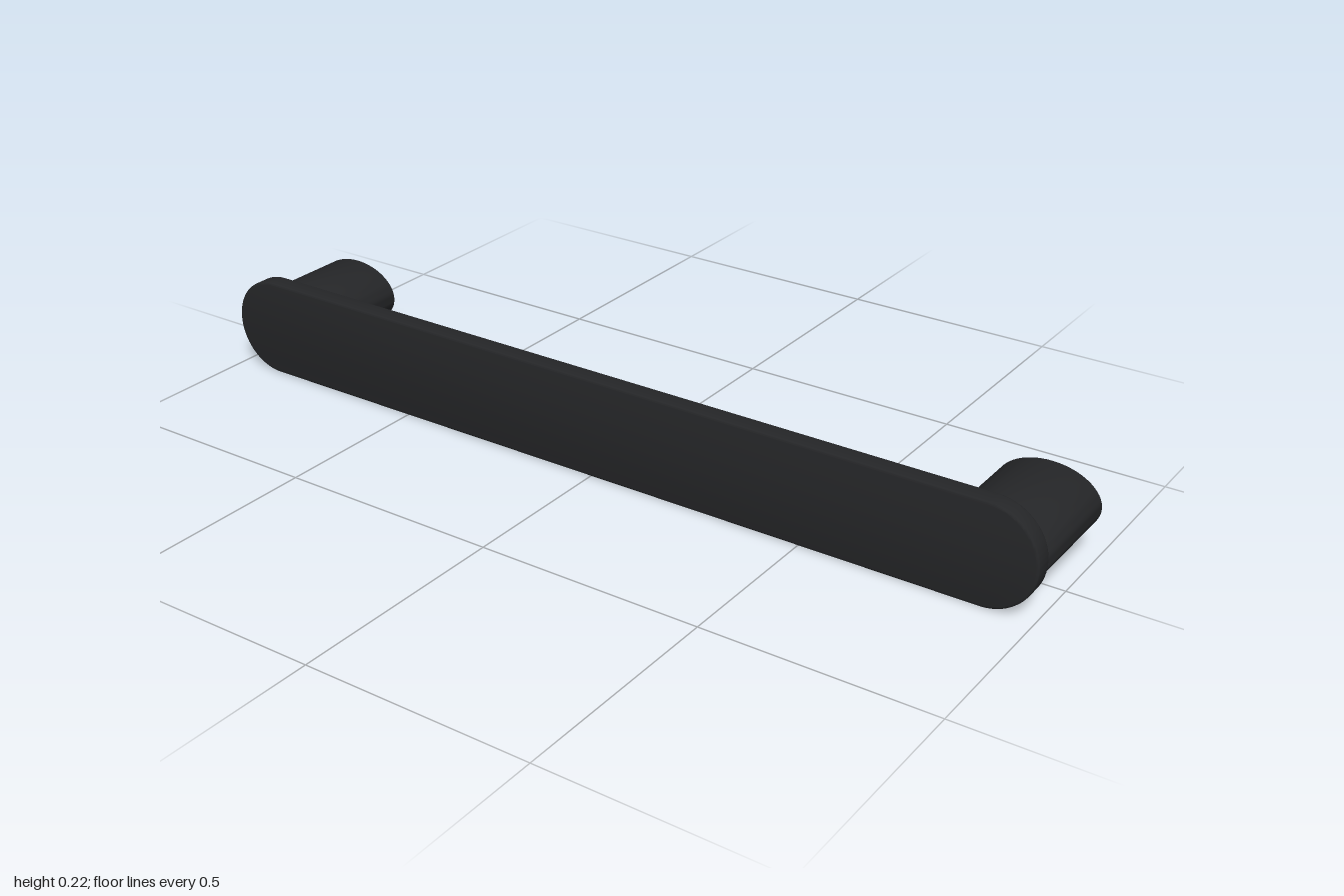
import * as THREE from 'three';
import { toCreasedNormals } from 'three/addons/utils/BufferGeometryUtils.js';

const MID_Y = 0.111;
const material = new THREE.MeshStandardMaterial({ color: 0x252628 });

// Extrudes an outline from zBack to zFront with softly rounded edges
function roundedSlab(name, shape, zBack, zFront, bevel) {
  const geometry = new THREE.ExtrudeGeometry(shape, {
    depth: zFront - zBack - 2 * bevel,
    bevelThickness: bevel,
    bevelSize: bevel,
    bevelOffset: -bevel,
    bevelSegments: 3,
    curveSegments: 32,
  });
  geometry.translate(0, 0, zBack + bevel);
  const mesh = new THREE.Mesh(toCreasedNormals(geometry, 0.6), material);
  mesh.name = name;
  mesh.position.y = MID_Y;
  return mesh;
}

export function createModel() {
  const group = new THREE.Group();
  group.name = 'pullHandle';

  // Grip plate: a flat bar with semicircular ends
  const r = MID_Y;
  const bar = new THREE.Shape();
  bar.absarc(1 - r, 0, r, -Math.PI / 2, Math.PI / 2);
  bar.absarc(r - 1, 0, r, Math.PI / 2, Math.PI * 1.5);
  bar.closePath();
  group.add(roundedSlab('gripPlate', bar, 0.1, 0.144, 0.005));

  // Elliptical mounting posts behind each end
  const oval = new THREE.Shape();
  oval.absellipse(0, 0, 0.11, 0.072, 0, Math.PI * 2);
  for (const side of [1, -1]) {
    const post = roundedSlab(side > 0 ? 'leftPost' : 'rightPost', oval, -0.144, 0.106, 0.003);
    post.position.x = side * 0.89;
    group.add(post);
  }

  return group;
}
